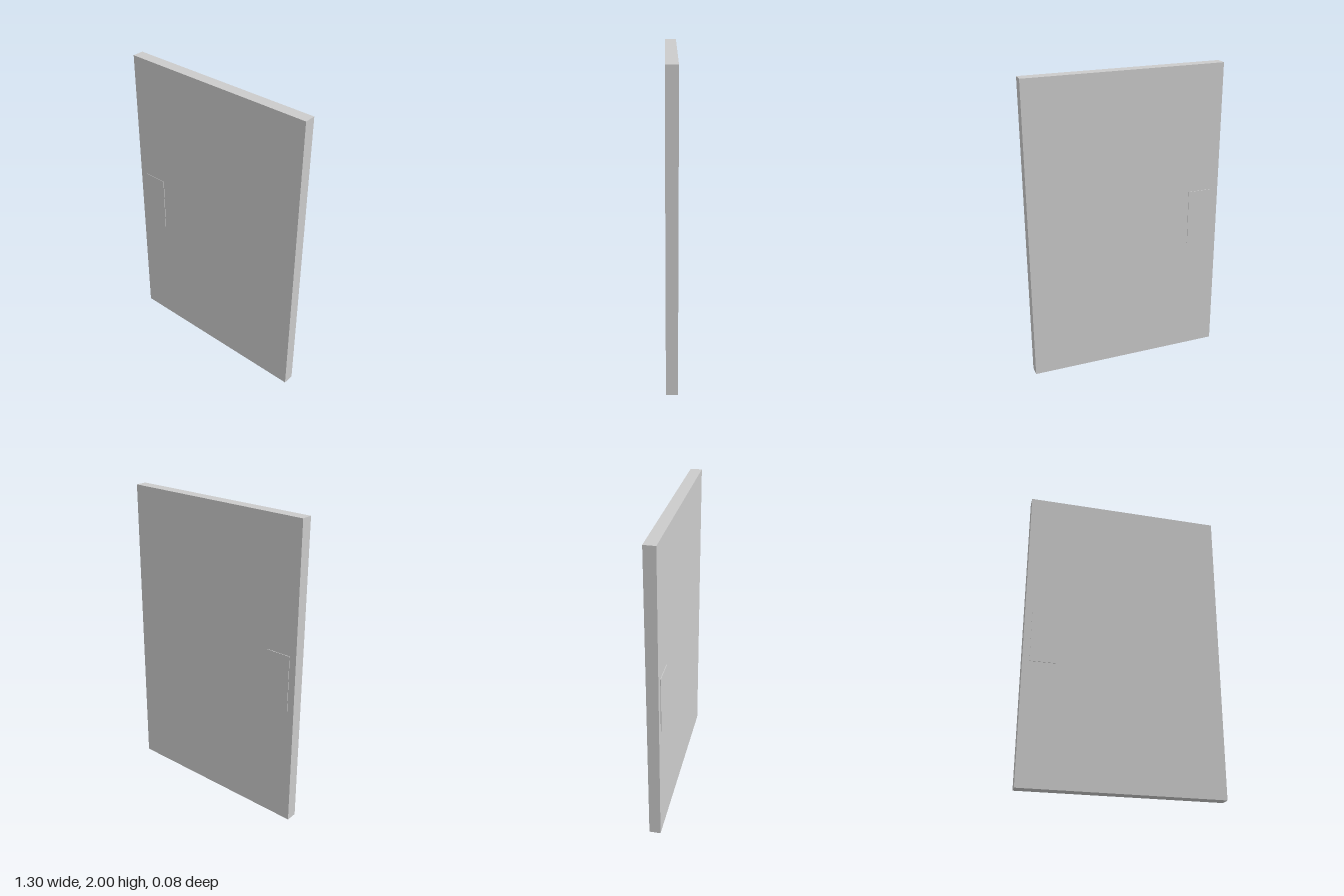
import * as THREE from 'three';

export function createModel() {
  const group = new THREE.Group();
  const material = new THREE.MeshStandardMaterial({ color: 0xcccccc });
  const depth = 0.074;

  function addBox(name, size, position) {
    const mesh = new THREE.Mesh(new THREE.BoxGeometry(...size), material);
    mesh.name = name;
    mesh.position.set(...position);
    group.add(mesh);
  }

  // Door slab
  addBox('doorPanel', [1.3, 2, depth], [0, 1, 0]);

  // Thin push plates, one on each face near the opening edge
  const plate = 0.004;
  for (const [name, side] of [['frontPushPlate', 1], ['backPushPlate', -1]]) {
    addBox(name, [0.165, 0.37, plate], [-0.522, 0.978, side * (depth + plate) / 2]);
  }

  return group;
}
